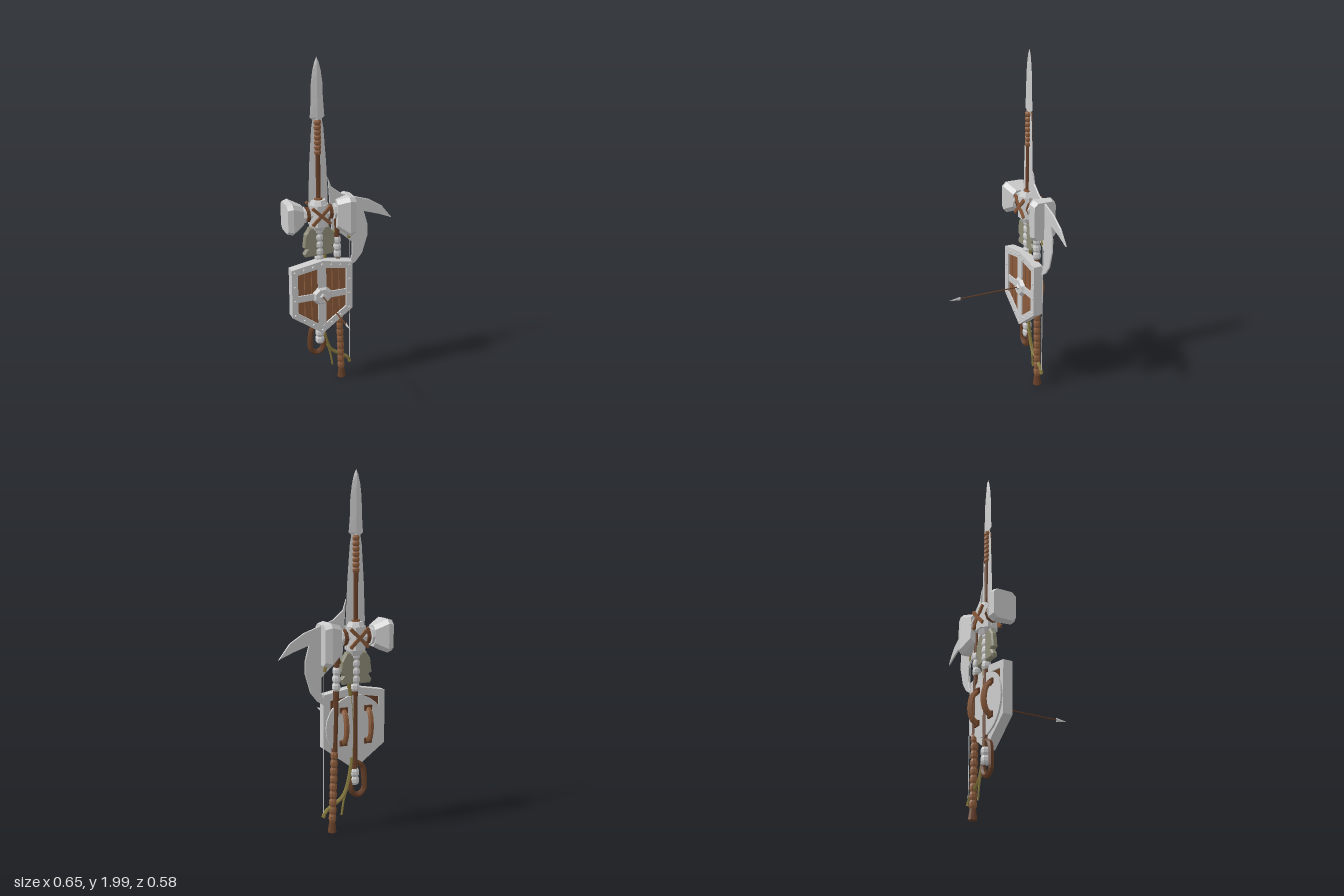
import * as THREE from 'three';
import { ConvexGeometry } from 'three/addons/geometries/ConvexGeometry.js';

const mat = (color) => new THREE.MeshStandardMaterial({ color, flatShading: true, side: THREE.DoubleSide });
const metal = mat(0xcccccc), wood = mat(0x8a5a3a), leather = mat(0x663f28), olive = mat(0x8f8d78), bowWood = mat(0x85773c);
const CX = -0.128, CZ = -0.215; // axis shared by the bundled weapons

function add(parent, name, geo, material, x = 0, y = 0, z = 0) {
  const m = new THREE.Mesh(geo, material);
  m.name = name;
  m.position.set(x, y, z);
  parent.add(m);
  return m;
}
function part(parent, name) {
  const g = new THREE.Group();
  g.name = name;
  parent.add(g);
  return g;
}
const toShape = (pts) => new THREE.Shape(pts.map(([x, y]) => new THREE.Vector2(x, y)));

// Flat plate with thin bevelled edges, centred on z = 0
function plate(pts, depth, bevel = 0) {
  const g = new THREE.ExtrudeGeometry(toShape(pts), {
    depth: depth - 2 * bevel, bevelEnabled: bevel > 0, bevelThickness: bevel, bevelSize: bevel, bevelOffset: -bevel, bevelSegments: 1,
  });
  return g.translate(0, 0, bevel - depth / 2);
}
function tube(pts, r, segs = 24, sides = 6) {
  return new THREE.TubeGeometry(new THREE.CatmullRomCurve3(pts.map((p) => new THREE.Vector3(...p))), segs, r, sides);
}
// Leather-bound grip: a lathe with evenly spaced bulges
function wrap(y0, y1, r, n) {
  const pts = [new THREE.Vector2(0, y0)], h = (y1 - y0) / n;
  for (let i = 0; i < n; i++) {
    pts.push(new THREE.Vector2(r * 0.78, y0 + i * h), new THREE.Vector2(r, y0 + (i + 0.3) * h), new THREE.Vector2(r, y0 + (i + 0.7) * h));
  }
  pts.push(new THREE.Vector2(r * 0.78, y1), new THREE.Vector2(0, y1));
  return new THREE.LatheGeometry(pts, 8);
}
// Blade with a raised ridge: half widths w at heights y, diamond section
function ridgedBlade(rows, t) {
  const pos = [], idx = [];
  rows.forEach(([y, w]) => pos.push(-w, y, 0, 0, y, w ? t : 0, w, y, 0, 0, y, w ? -t : 0));
  for (let i = 0; i < rows.length - 1; i++) {
    for (let j = 0; j < 4; j++) {
      const a = i * 4 + j, b = i * 4 + (j + 1) % 4;
      idx.push(a, b, b + 4, a, b + 4, a + 4);
    }
  }
  idx.push(0, 2, 1, 0, 3, 2);
  const g = new THREE.BufferGeometry();
  g.setAttribute('position', new THREE.Float32BufferAttribute(pos, 3));
  g.setIndex(idx);
  g.computeVertexNormals();
  return g;
}

function spear(root) {
  const g = part(root, 'spear');
  add(g, 'spearBlade', ridgedBlade([[1.645, 0.02], [1.665, 0.043], [1.77, 0.035], [1.85, 0.034], [1.92, 0.025], [1.97, 0.013], [2, 0]], 0.008), metal, CX, 0, CZ);
  add(g, 'spearHaft', new THREE.CylinderGeometry(0.015, 0.018, 1.3, 8), leather, CX, 1.0, CZ);
  add(g, 'spearGrip', wrap(1.45, 1.65, 0.022, 7), wood, CX, 0, CZ);
  add(g, 'spearButt', wrap(0.27, 0.36, 0.028, 2), metal, CX, 0, CZ);
}

function sword(root) {
  const g = part(root, 'sword');
  add(g, 'swordBlade', ridgedBlade([[0.95, 0.055], [1.2, 0.058], [1.4, 0.05], [1.6, 0.036], [1.66, 0.026], [1.76, 0]], 0.006), metal, CX, 0, CZ);
  add(g, 'swordGuard', plate([[-0.2, 1.0], [-0.215, 0.98], [-0.225, 0.9], [-0.205, 0.89], [-0.225, 0.86], [-0.215, 0.84], [-0.05, 0.84],
    [-0.035, 0.87], [-0.05, 0.89], [-0.03, 0.91], [-0.04, 0.97], [-0.07, 1.02], [-0.19, 1.02]], 0.035, 0.008), olive, 0, 0, CZ);
  add(g, 'swordCollar', wrap(0.8, 1.02, 0.028, 5), metal, CX, 0, CZ);
}

function axe(root) {
  const g = part(root, 'axe');
  add(g, 'axeBlade', plate([[-0.07, 1.31], [-0.05, 1.25], [0.01, 1.2], [0.095, 1.17], [0.18, 1.14], [0.26, 1.09], [0.325, 1.005], [0.24, 1.04],
    [0.15, 1.07], [0.172, 0.99], [0.172, 0.915], [0.14, 0.81], [0.1, 0.76], [0.05, 0.73], [0.075, 0.81], [0.075, 0.89], [0.01, 0.95], [-0.05, 0.98]],
  0.01, 0.003), metal, 0, 0, CZ);
  const haft = part(g, 'axeHaft');
  haft.position.set(0.008, 0.01, CZ);
  haft.rotation.z = 0.027;
  add(haft, 'shaft', new THREE.CylinderGeometry(0.017, 0.017, 1.1, 8), leather, 0, 0.57);
  add(haft, 'grip', wrap(0.06, 0.46, 0.022, 9), wood);
  add(haft, 'pommel', new THREE.CylinderGeometry(0.018, 0.026, 0.06, 8), leather, 0, 0.03);
  add(haft, 'collar', wrap(0.8, 0.93, 0.024, 3), metal);
}

function hammer(root) {
  const g = part(root, 'hammer');
  // Chamfered rectangles at several x positions, closed as a convex head
  const head = (rings) => new ConvexGeometry(rings.flatMap(([x, y, hy, hz]) => {
    const c = 0.022, out = [];
    for (const sy of [-1, 1]) for (const sz of [-1, 1]) {
      out.push(new THREE.Vector3(x, y + sy * hy, CZ + sz * (hz - c)), new THREE.Vector3(x, y + sy * (hy - c), CZ + sz * hz));
    }
    return out;
  }));
  add(g, 'rightHammerHead', head([[-0.33, 1.1, 0.085, 0.066], [-0.298, 1.1, 0.092, 0.075], [-0.228, 1.1, 0.058, 0.045]]), metal);
  add(g, 'leftHammerHead', head([[0.08, 1.07, 0.11, 0.066], [0.042, 1.07, 0.12, 0.075], [-0.026, 1.085, 0.085, 0.045]]), metal);
  add(g, 'neck', new THREE.CylinderGeometry(0.034, 0.034, 0.22, 8).rotateZ(Math.PI / 2), metal, CX, 1.1, CZ);
  for (const s of [-1, 1]) {
    add(g, 'neckCollar', new THREE.CylinderGeometry(0.05, 0.05, 0.014, 8).rotateZ(Math.PI / 2), metal, CX + s * 0.092, 1.1, CZ);
    add(g, 'neckBinding', new THREE.CylinderGeometry(0.046, 0.046, 0.018, 8).rotateZ(Math.PI / 2), leather, CX + s * 0.068, 1.1, CZ);
    // crossed straps on the front and back
    for (const t of [-1, 1]) {
      add(g, 'crossStrap', new THREE.BoxGeometry(0.018, 0.15, 0.012), wood, CX, 1.1, CZ + s * 0.056).rotation.z = t * 0.8;
    }
  }
  add(g, 'hub', new THREE.CylinderGeometry(0.058, 0.058, 0.13, 8).rotateY(Math.PI / 8), metal, CX, 1.095, CZ);
  add(g, 'hubTop', new THREE.CylinderGeometry(0.042, 0.056, 0.03, 8), metal, CX, 1.17, CZ);
  add(g, 'hubBase', new THREE.CylinderGeometry(0.054, 0.035, 0.04, 8), metal, CX, 1.02, CZ);
  add(g, 'haftEnd', new THREE.CylinderGeometry(0.026, 0.03, 0.03, 8), wood, CX, 1.18, CZ);
}

function shield(root) {
  const g = part(root, 'shield');
  g.position.set(CX, 0.6, CZ);
  const outline = [[0, 0.222], [-0.185, 0.19], [-0.185, -0.11], [0, -0.245], [0.185, -0.11], [0.185, 0.19]];
  const inner = [[0, 0.18], [-0.148, 0.155], [-0.148, -0.09], [0, -0.197], [0.148, -0.09], [0.148, 0.155]];
  const rim = toShape(outline);
  rim.holes.push(toShape(inner));
  add(g, 'rim', new THREE.ExtrudeGeometry(rim, { depth: 0.055, bevelEnabled: false }), metal);
  // vertical planks with narrow gaps over a backing
  add(g, 'backing', plate(inner.map(([x, y]) => [x * 1.04, y * 1.04]), 0.02), leather, 0, 0, 0.018);
  for (const s of [-1, 1]) {
    for (let i = 0; i < 3; i++) {
      const a = 0.022 + i * 0.043, b = a + 0.039;
      const low = (x) => -0.197 + x * 0.72, high = (x) => 0.18 - x * 0.17;
      add(g, 'plank', plate([[s * a, low(a)], [s * b, low(b)], [s * b, high(b)], [s * a, high(a)]], 0.018), wood, 0, 0, 0.035);
    }
  }
  add(g, 'verticalBand', new THREE.BoxGeometry(0.05, 0.385, 0.02), metal, 0, -0.008, 0.042);
  add(g, 'crossBand', new THREE.BoxGeometry(0.31, 0.04, 0.02), metal, 0, 0, 0.042);
  add(g, 'boss', new THREE.CylinderGeometry(0.045, 0.062, 0.018, 8).rotateX(Math.PI / 2).rotateZ(Math.PI / 8), metal, 0, 0, 0.055);
  add(g, 'bossStud', new THREE.CylinderGeometry(0.012, 0.03, 0.012, 4).rotateX(Math.PI / 2), metal, 0, 0, 0.065);
  // rivets along every rim edge
  const mid = outline.map(([x, y], i) => [(x + inner[i][0]) / 2, (y + inner[i][1]) / 2]);
  mid.forEach(([x, y], i) => {
    const [u, v] = mid[(i + 1) % mid.length];
    for (let k = 0; k < 3; k++) {
      add(g, 'rivet', new THREE.CylinderGeometry(0.005, 0.008, 0.007, 6).rotateX(Math.PI / 2), metal, x + (u - x) * k / 3, y + (v - y) * k / 3, 0.057);
    }
  });
  add(g, 'backDisc', new THREE.CylinderGeometry(0.178, 0.178, 0.014, 24).rotateX(Math.PI / 2), metal, 0, 0, -0.003);
  // arched arm grips on the back
  for (const s of [-1, 1]) {
    const x = s * 0.075;
    add(g, 'armGrip', tube([[x, 0.1, 0], [x, 0.08, -0.035], [x, 0.03, -0.052], [x, -0.03, -0.052], [x, -0.07, -0.035], [x, -0.085, 0]], 0.016, 16), wood);
    for (const y of [-0.085, 0.1]) add(g, 'gripMount', new THREE.BoxGeometry(0.045, 0.03, 0.014), leather, x, y, -0.014);
  }
}

function bow(root) {
  const g = part(root, 'bow');
  add(g, 'bowLimbs', tube([[0.062, 0.1, CZ], [0.05, 0.13, CZ], [0, 0.165, CZ], [-0.06, 0.21, CZ], [-0.1, 0.33, CZ], [-0.115, 0.55, CZ],
    [-0.1, 0.78, CZ], [-0.06, 0.94, CZ], [0, 0.99, CZ], [0.05, 0.95, CZ], [0.058, 0.92, CZ]], 0.011, 48), bowWood);
  add(g, 'bowString', new THREE.CylinderGeometry(0.0025, 0.0025, 0.82, 5), metal, 0.06, 0.52, CZ);
  add(g, 'limbTail', tube([[-0.09, 0.26, CZ], [-0.065, 0.19, CZ], [-0.05, 0.1, CZ]], 0.006, 8), bowWood);
}

function arrow(root) {
  const g = part(root, 'arrow');
  add(g, 'arrowShaft', new THREE.CylinderGeometry(0.004, 0.004, 0.4, 6).rotateX(Math.PI / 2), leather, CX, 0.598, 0.02);
  add(g, 'arrowHead', new THREE.ConeGeometry(0.012, 0.07, 4).scale(0.4, 1, 1).rotateX(Math.PI / 2), metal, CX, 0.598, 0.251);
}

export function createModel() {
  const root = new THREE.Group();
  root.name = 'weaponBundle';
  [spear, sword, axe, hammer, shield, bow, arrow].forEach((build) => build(root));
  // leather loop hanging under the shield
  add(root, 'hangingLoop', tube([[-0.13, 0.4, CZ], [-0.175, 0.37, CZ], [-0.19, 0.28, CZ], [-0.185, 0.23, CZ], [-0.15, 0.205, CZ],
    [-0.115, 0.225, CZ], [-0.105, 0.27, CZ], [-0.125, 0.32, CZ]], 0.016, 24), leather);
  return root;
}
